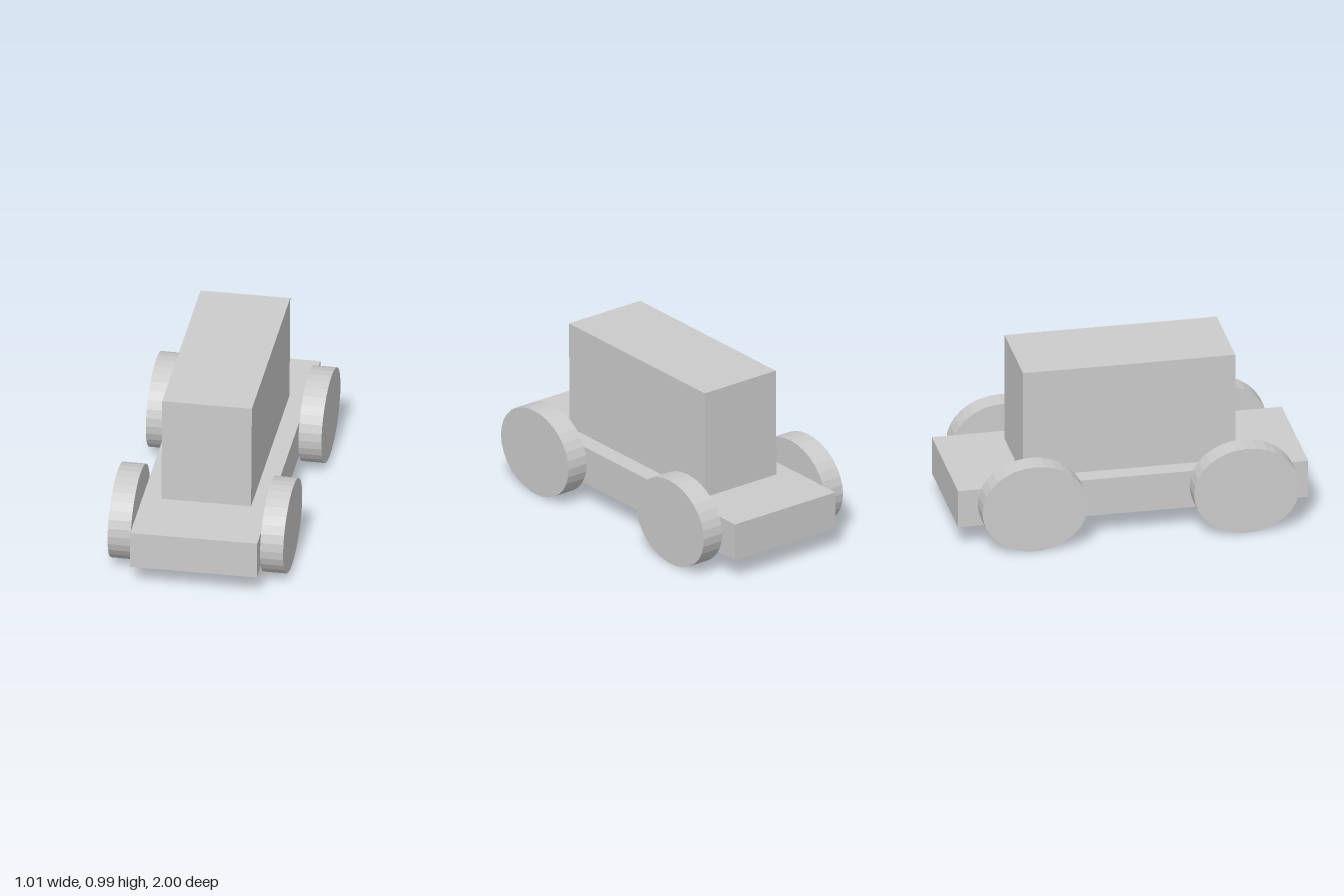
import * as THREE from 'three';

const material = new THREE.MeshStandardMaterial({ color: 0xcccccc, flatShading: true });

// Slight hand-made skew: lean moves the top sideways, rise lifts the left side.
function skew(geometry, lean, rise) {
  const m = new THREE.Matrix4().set(
    1, lean, 0, 0,
    rise, 1, 0, 0,
    0, 0, 1, 0,
    0, 0, 0, 1
  );
  return geometry.applyMatrix4(m);
}

function addPart(group, name, geometry, x, y, z) {
  const mesh = new THREE.Mesh(geometry, material);
  mesh.name = name;
  mesh.position.set(x, y, z);
  group.add(mesh);
}

export function createModel() {
  const model = new THREE.Group();
  model.name = 'toyCar';

  // Flat chassis and tall cabin block
  addPart(model, 'chassis', skew(new THREE.BoxGeometry(0.722, 0.221, 2), 0.009, 0.0105), 0.002, 0.239, 0);
  addPart(model, 'cabin', skew(new THREE.BoxGeometry(0.51, 0.64, 1.213), 0.007, 0.0105), 0.006, 0.668, 0.001);

  // Four solid wheels, slightly longer than they are tall
  for (const [side, x] of [['Left', 0.432], ['Right', -0.435]]) {
    for (const [end, z] of [['front', 0.622], ['back', -0.588]]) {
      const wheel = new THREE.CylinderGeometry(1, 1, 0.131, 32);
      wheel.rotateZ(Math.PI / 2).scale(1, 0.257, 0.302);
      addPart(model, `${end}${side}Wheel`, skew(wheel, 0.0155, 0), x, 0.26, z);
    }
  }
  return model;
}
